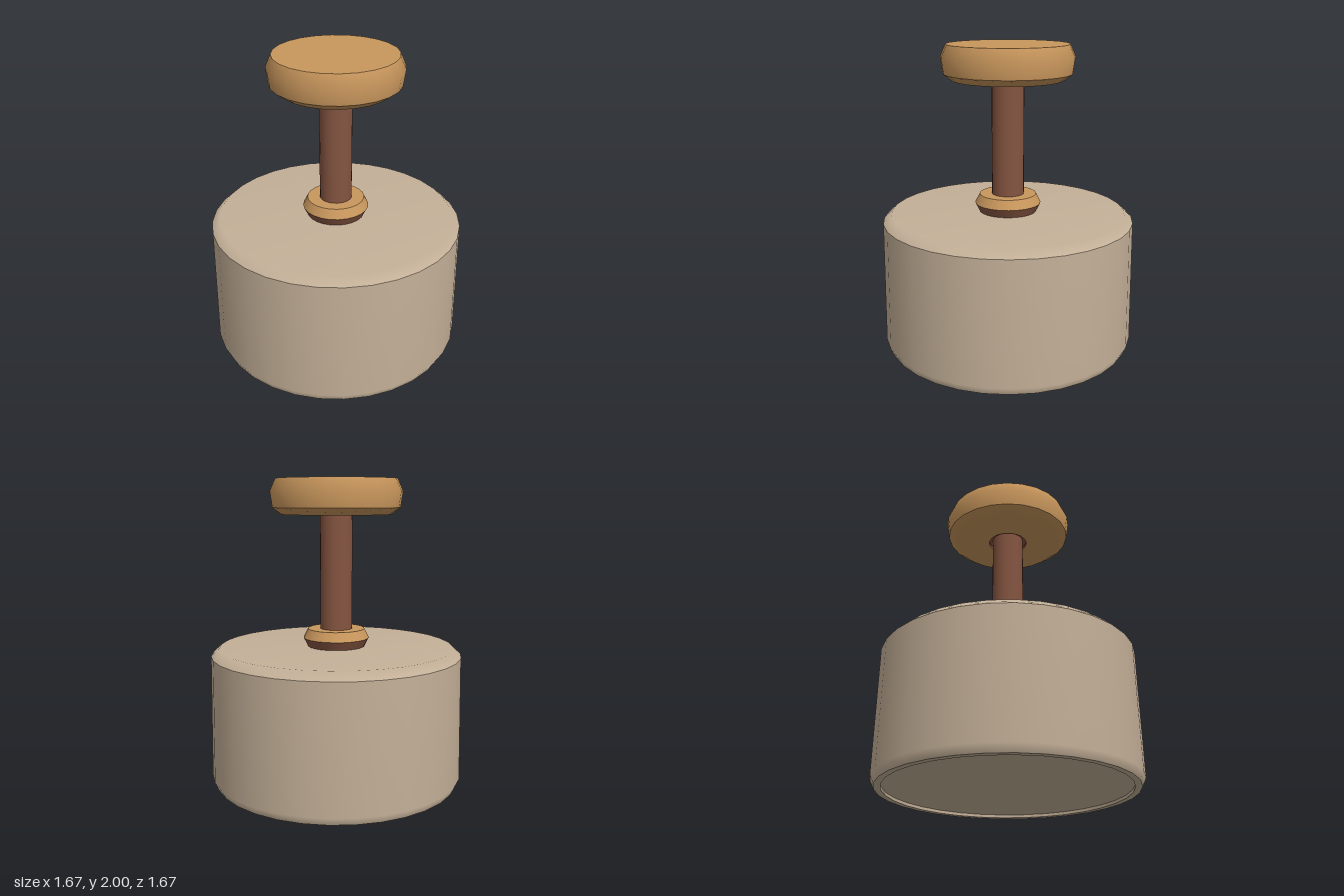
import * as THREE from 'three';

const makeMaterial = (name, color) => {
  const m = new THREE.MeshStandardMaterial({ color });
  m.name = name;
  return m;
};

// Turned part: each profile is [radius, height] pairs running from the bottom
// centre outward and up. Separate profiles meet at a sharp edge.
function turned(name, material, segments, profiles) {
  const part = new THREE.Group();
  part.name = name;
  profiles.forEach((profile, i) => {
    const points = profile.map(([r, y]) => new THREE.Vector2(r, y));
    const mesh = new THREE.Mesh(new THREE.LatheGeometry(points, segments), material);
    mesh.name = `${name}Surface${i + 1}`;
    part.add(mesh);
  });
  return part;
}

export function createModel() {
  const stone = makeMaterial('warm stone', 0xc4b098);
  const wood = makeMaterial('light wood', 0xc8965c);
  const darkWood = makeMaterial('dark wood', 0x855541);

  const model = new THREE.Group();
  model.name = 'plungerStamp';

  // Heavy drum with a shallow recess underneath
  model.add(turned('base', stone, 32, [
    [[0, 0.02], [0.77, 0.02]],
    [[0.77, 0.02], [0.77, 0]],
    [[0.77, 0], [0.812, 0]],
    [[0.812, 0], [0.835, 0.05], [0.825, 0.86]],
    [[0.825, 0.86], [0.77, 0.91], [0, 0.91]],
  ]));

  // Collar: dark flared foot under a light bevelled ring
  model.add(turned('collarFoot', darkWood, 24, [
    [[0.185, 0.905], [0.217, 0.967]],
  ]));
  model.add(turned('collarRing', wood, 24, [
    [[0.217, 0.967], [0.187, 1.027]],
    [[0.187, 1.027], [0.1, 1.027]],
  ]));

  // Shaft, ending in a socket inside the knob
  model.add(turned('shaft', darkWood, 24, [
    [[0.105, 0.9], [0.105, 1.8]],
  ]));
  model.add(turned('knobSocket', darkWood, 24, [
    [[0.1, 1.79], [0.13, 1.79]],
    [[0.13, 1.79], [0.13, 1.772]],
  ]));

  // Knob with a bevelled underside, rounded rim and flat top
  model.add(turned('knob', wood, 24, [
    [[0.13, 1.772], [0.355, 1.772], [0.415, 1.816]],
    [[0.415, 1.816], [0.43, 1.92], [0.395, 2]],
    [[0.395, 2], [0, 2]],
  ]));

  return model;
}
